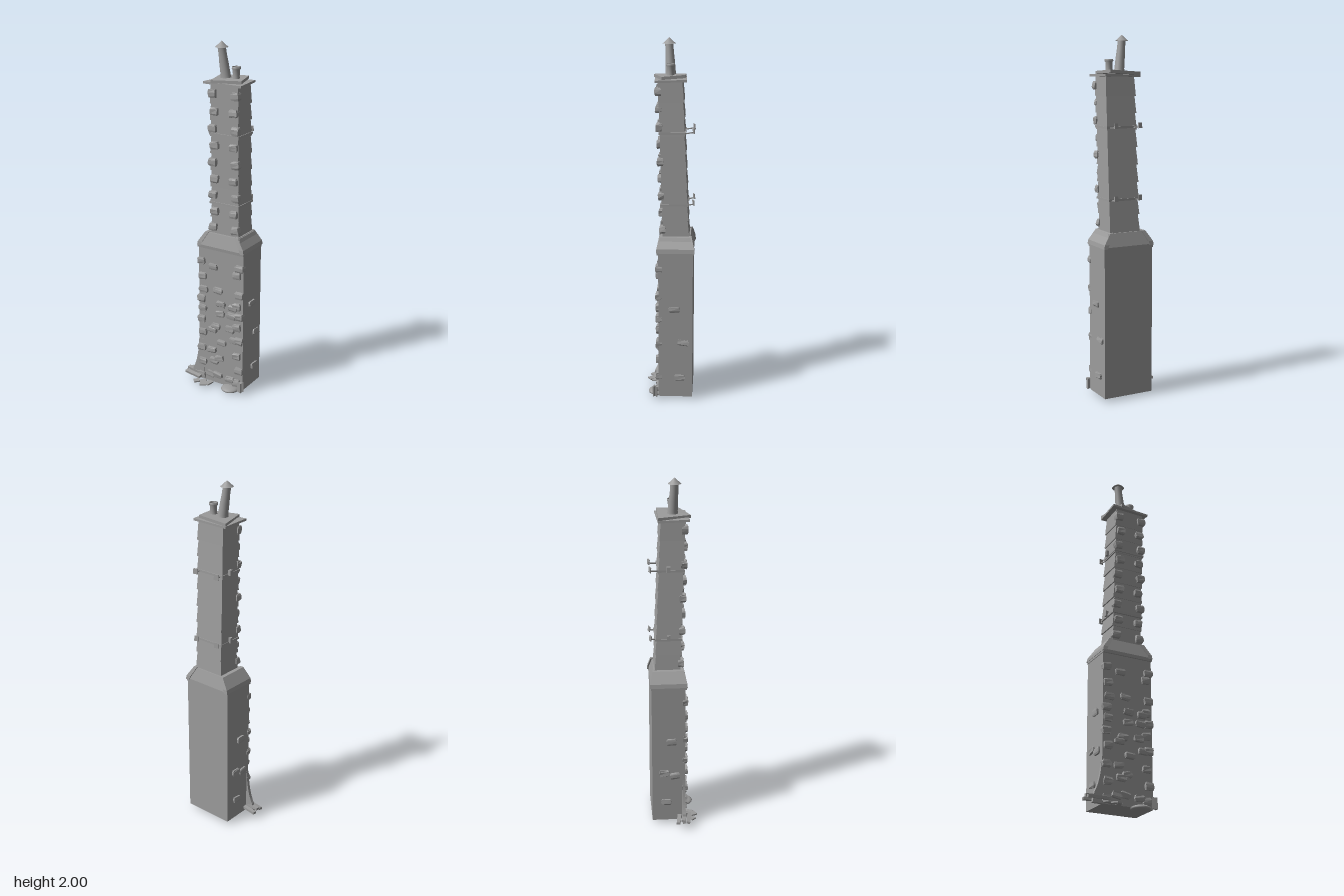
import * as THREE from 'three';

const stone = new THREE.MeshStandardMaterial({ color: 0x9c9c9c, side: THREE.DoubleSide });
stone.name = 'grey stone';

// small seeded random, range -1..1
let seed = 7;
const rnd = () => {
  seed = (seed * 16807) % 2147483647;
  return (seed / 2147483647) * 2 - 1;
};

// solid skinned over stacked four-cornered rings, listed from bottom to top
function loft(rings) {
  const pos = [];
  const quad = (a, b, c, d) => pos.push(...a, ...b, ...c, ...a, ...c, ...d);
  for (let i = 0; i + 1 < rings.length; i++) {
    for (let k = 0; k < 4; k++) {
      const n = (k + 1) % 4;
      quad(rings[i][k], rings[i][n], rings[i + 1][n], rings[i + 1][k]);
    }
  }
  const b = rings[0], t = rings[rings.length - 1];
  quad(b[3], b[2], b[1], b[0]);
  quad(t[0], t[1], t[2], t[3]);
  const g = new THREE.BufferGeometry();
  g.setAttribute('position', new THREE.Float32BufferAttribute(pos, 3));
  g.computeVertexNormals();
  return g;
}

const ring = (y, x0, x1, z0, z1) => [[x0, y, z1], [x1, y, z1], [x1, y, z0], [x0, y, z0]];

function add(parent, name, geometry, p = [0, 0, 0], r = [0, 0, 0]) {
  const m = new THREE.Mesh(geometry, stone);
  m.name = name;
  m.position.set(...p);
  m.rotation.set(...r);
  parent.add(m);
  return m;
}

// rough stone block: bulging rings with uneven corners
function rock(w, h, d) {
  const rings = [[-0.5, 0.82], [-0.25, 1], [0.25, 1], [0.5, 0.82]].map(([y, s]) =>
    ring(y * h, -w / 2 * s, w / 2 * s, -d / 2 * s, d / 2 * s)
      .map(([x, yy, z]) => [x + rnd() * 0.003, yy + rnd() * 0.003, z + rnd() * 0.002]));
  return loft(rings);
}

// lower body front and back planes, shaft lean
const FRONT = 0.058, BACK = -0.13, LEFT = -0.11, RIGHT = 0.183;
const lean = (y) => (y - 0.94) / 0.84;

function lowerBody(root) {
  const g = new THREE.Group();
  g.name = 'lowerBody';
  add(g, 'base', loft([ring(0.02, LEFT, RIGHT, BACK, FRONT), ring(0.86, LEFT, RIGHT, BACK, FRONT)]));

  // flared foot spreading out at the front corner
  const foot = new THREE.Shape();
  foot.moveTo(-0.08, 0.02);
  foot.lineTo(-0.165, 0.02);
  foot.lineTo(-0.155, 0.075);
  foot.quadraticCurveTo(-0.118, 0.14, -0.112, 0.28);
  foot.lineTo(-0.08, 0.28);
  add(g, 'flaredFoot', new THREE.ExtrudeGeometry(foot, { depth: 0.018, bevelEnabled: false }), [0, 0, 0.042]);

  // corner stones on both front edges
  [0.77, 0.68, 0.54, 0.48, 0.41, 0.33, 0.23, 0.14, 0.05].forEach((y, i) =>
    add(g, 'cornerStone', rock(0.048, 0.04, 0.03), [-0.09 + (i % 2) * 0.008, y, FRONT], [0, 0, rnd() * 0.08]));
  [0.77, 0.73, 0.61, 0.54, 0.48, 0.41, 0.33, 0.23, 0.14, 0.06].forEach((y, i) =>
    add(g, 'cornerStone', rock(0.05, 0.04, 0.036), [0.16 - (i % 2) * 0.015, y, FRONT - 0.002], [0, 0, rnd() * 0.08]));

  // scattered face stones
  const spots = [[-0.01, 0.75], [0.02, 0.61], [-0.075, 0.6], [0.04, 0.53], [0.12, 0.525], [0.035, 0.47],
    [0.11, 0.475], [0.005, 0.385], [0.1, 0.39], [0.045, 0.29], [0.125, 0.325], [-0.015, 0.36],
    [-0.02, 0.23], [-0.005, 0.165], [0.03, 0.185], [-0.03, 0.07], [0.02, 0.075], [0.1, 0.07]];
  spots.forEach(([x, y]) =>
    add(g, 'faceStone', rock(0.056, 0.034, 0.028), [x, y, FRONT + 0.002], [0, 0, rnd() * 0.15]));

  // stones on the two sides
  [[-0.03, 0.54], [-0.08, 0.345], [-0.06, 0.135]].forEach(([z, y]) =>
    add(g, 'sideStone', rock(0.022, 0.034, 0.06), [RIGHT, y, z], [rnd() * 0.1, 0, 0]));
  [[-0.02, 0.53], [-0.06, 0.33], [0, 0.31], [-0.05, 0.14]].forEach(([z, y]) =>
    add(g, 'sideStone', rock(0.02, 0.036, 0.055), [LEFT, y, z], [rnd() * 0.1, 0, 0]));
  root.add(g);
}

function rubble(root) {
  const g = new THREE.Group();
  g.name = 'rubble';
  // three planks poking out at the foot
  [0.022, 0.05, 0.078].forEach((z, i) =>
    add(g, 'plank', new THREE.BoxGeometry(0.11, 0.014, 0.022), [-0.143, 0.045 + (i % 2) * 0.012, z], [0.1 * i, -0.14, 0]));
  // flat broken slabs
  [[-0.06, 0.1, 0.5, 0.038, 0.06], [-0.105, 0.1, 0.75, 0.035, 0.03], [-0.03, 0.085, -0.25, 0.03, 0.045]]
    .forEach(([x, z, a, w, d]) =>
      add(g, 'slab', new THREE.BoxGeometry(w, 0.008, d), [x, 0.02, z], [0.08, a, 0]));
  // shallow mound at the front
  const mound = add(g, 'mound', new THREE.SphereGeometry(0.053, 20, 10), [0.105, 0.017, 0.067]);
  mound.scale.y = 0.32;
  // upright boards at the corner
  [[0.185, 0.073, 0.5], [0.176, 0.085, -0.25], [0.183, 0.08, -0.7]].forEach(([x, z, a]) =>
    add(g, 'board', new THREE.BoxGeometry(0.026, 0.06, 0.006), [x, 0.05, z], [0, a, 0]));
  root.add(g);
}

function collar(root) {
  const g = new THREE.Group();
  g.name = 'collar';
  add(g, 'slope', loft([
    ring(0.85, LEFT - 0.003, RIGHT + 0.003, BACK - 0.003, 0.066),
    ring(0.868, LEFT - 0.003, RIGHT + 0.003, BACK - 0.003, 0.068),
    ring(0.942, -0.06, 0.15, -0.115, 0.05),
  ]));
  // thick tiles lying on the left and right slopes
  for (const s of [-1, 1]) {
    const x = (v) => 0.037 + s * v;
    const pts = (y, a, b, z0, z1) => ring(y, Math.min(x(a), x(b)), Math.max(x(a), x(b)), z0, z1);
    add(g, 'slopeTile', loft([
      pts(0.862, 0.13, 0.152, -0.139, 0.07),
      pts(0.885, 0.12, 0.148, -0.137, 0.068),
      pts(0.945, 0.085, 0.107, -0.122, 0.055),
    ]));
  }
  root.add(g);
}

function shaft(root) {
  const g = new THREE.Group();
  g.name = 'shaft';
  // stacked courses, each tapering slightly so its lower edge steps out
  const levels = [0.94, 1.035, 1.12, 1.21, 1.305, 1.4, 1.495, 1.585, 1.675, 1.79];
  for (let i = 0; i + 1 < levels.length; i++) {
    const y0 = levels[i], y1 = levels[i + 1];
    const t0 = lean(y0), t1 = lean(y1);
    add(g, 'course', loft([
      ring(y0, -0.045 + t0 * 0.012, 0.138 + t0 * 0.008, -0.108 + t0 * 0.035, 0.036 + t0 * 0.024),
      ring(y1, -0.037 + t1 * 0.01, 0.133 + t1 * 0.007, -0.103 + t1 * 0.035, 0.032 + t1 * 0.026),
    ]));
  }
  // paired stones up the front edges
  for (let i = 0; i < 9; i++) {
    const y = 0.98 + i * 0.0938, t = lean(y), z = 0.037 + t * 0.024;
    add(g, 'edgeStone', rock(0.048, 0.042, 0.034), [-0.024 + (i % 2) * 0.012 + t * 0.012, y, z], [0, 0, rnd() * 0.08]);
    add(g, 'edgeStone', rock(0.046, 0.042, 0.034), [0.12 - (i % 2) * 0.012 + t * 0.01, y, z], [0, 0, rnd() * 0.08]);
  }
  // bands with rear brackets
  for (const y of [1.12, 1.51]) {
    const t = lean(y), back = -0.106 + t * 0.035;
    add(g, 'band', loft([
      ring(y - 0.006, -0.047 + t * 0.012, 0.141 + t * 0.008, back - 0.005, 0.041 + t * 0.024),
      ring(y + 0.006, -0.047 + t * 0.012, 0.141 + t * 0.008, back - 0.005, 0.041 + t * 0.024),
    ]));
    for (const x of [-0.025, 0.12]) {
      add(g, 'bracketArm', new THREE.BoxGeometry(0.006, 0.006, 0.128 + back), [x, y, (back - 0.128) / 2], [0.12, 0.3, 0]);
      add(g, 'bracketPlate', new THREE.BoxGeometry(0.026, 0.03, 0.005), [x - 0.008, y + 0.01, -0.129], [0.1, 0.3, 0]);
    }
    add(g, 'bandClip', new THREE.BoxGeometry(0.016, 0.03, 0.02), [-0.046, y + 0.012, -0.03]);
  }
  root.add(g);
}

// flat uneven slab from four corner points [x, z, y]
function warpedSlab(corners, h) {
  return loft([corners.map(([x, z, y]) => [x, y, z]), corners.map(([x, z, y]) => [x, y + h, z])]);
}

function top(root) {
  const g = new THREE.Group();
  g.name = 'top';
  add(g, 'lowerCap', warpedSlab([[-0.06, 0.082, 1.782], [0.168, 0.075, 1.778], [0.155, -0.092, 1.782], [-0.058, -0.085, 1.776]], 0.012));
  add(g, 'upperCap', warpedSlab([[-0.008, 0.09, 1.79], [0.15, 0.04, 1.792], [0.122, -0.084, 1.8], [-0.058, -0.084, 1.788]], 0.016));

  // leaning tall pot with conical hat
  const pot = (pts) => new THREE.LatheGeometry(pts.map(([r, y]) => new THREE.Vector2(r, y)), 20);
  const shear = (geo, kx, kz) => {
    const p = geo.attributes.position;
    for (let i = 0; i < p.count; i++) {
      p.setX(i, p.getX(i) + p.getY(i) * kx);
      p.setZ(i, p.getZ(i) + p.getY(i) * kz);
    }
    geo.computeVertexNormals();
    return geo;
  };
  add(g, 'tallPot', shear(pot([[0.031, 0], [0.027, 0.02], [0.025, 0.08], [0.022, 0.13], [0.022, 0.172]]), -0.13, 0.06), [0.03, 1.8, -0.004]);
  add(g, 'potHat', new THREE.ConeGeometry(0.035, 0.032, 20), [0.008, 1.984, 0.006]);
  // short open pot
  add(g, 'shortPot', pot([[0.022, 0], [0.018, 0.02], [0.019, 0.055], [0.024, 0.06], [0.023, 0.072], [0.018, 0.072], [0.016, 0.04], [0, 0.04]]), [0.091, 1.8, -0.005]);
  root.add(g);
}

export function createModel() {
  seed = 7;
  const root = new THREE.Group();
  root.name = 'chimneyTower';
  [lowerBody, rubble, collar, shaft, top].forEach((build) => build(root));
  return root;
}
